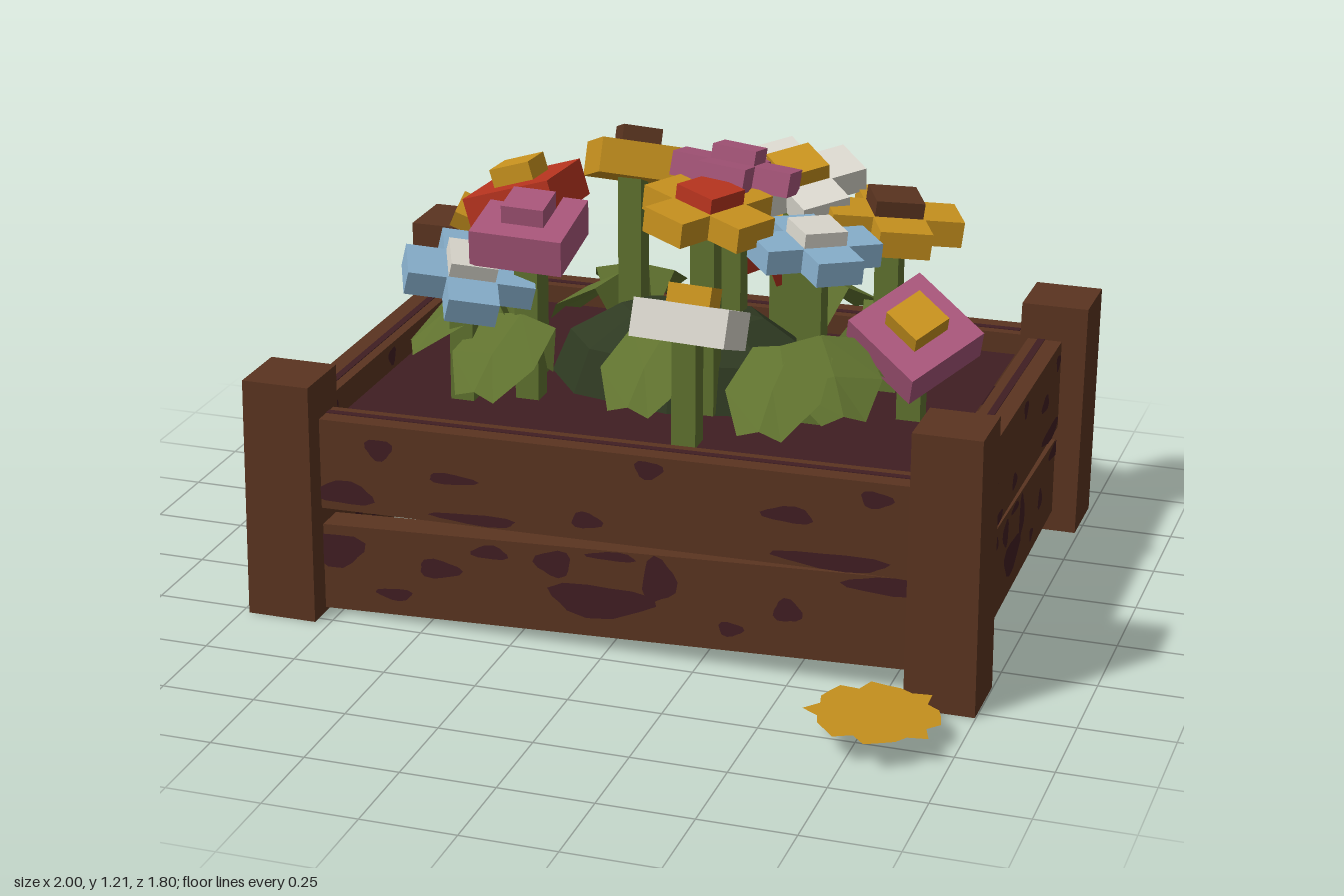
import * as THREE from 'three';

const mat = (name, color, side = THREE.FrontSide) => {
  const m = new THREE.MeshStandardMaterial({ color, side, flatShading: true });
  m.name = name;
  return m;
};
const M = {
  wood: mat('wood', 0x5a3420),
  soil: mat('soil', 0x401e22, THREE.DoubleSide),
  gold: mat('gold', 0xc8921e, THREE.DoubleSide),
  red: mat('red', 0xb8341f),
  pink: mat('pink', 0xa8567a),
  blue: mat('blue', 0x87afcc),
  white: mat('white', 0xdad7cd),
  green: mat('green', 0x60722f, THREE.DoubleSide),
  dark: mat('dark green', 0x2f3a22, THREE.DoubleSide),
};

function add(parent, name, geo, material, x = 0, y = 0, z = 0) {
  const m = new THREE.Mesh(geo, material);
  m.name = name;
  m.position.set(x, y, z);
  parent.add(m);
  return m;
}
const box = (w, h, d) => new THREE.BoxGeometry(w, h, d);

// Corner post whose top leans slightly sideways
function post(parent, x, z, h, w, leanX, leanZ) {
  const geo = box(w, h, w).translate(0, h / 2, 0);
  const p = geo.attributes.position;
  for (let i = 0; i < p.count; i++) {
    if (p.getY(i) > h / 2) p.setXYZ(i, p.getX(i) * 0.97 + leanX, h, p.getZ(i) * 0.97 + leanZ);
  }
  geo.computeVertexNormals();
  add(parent, 'cornerPost', geo, M.wood, x, 0, z);
}

// Stains: u, v centre and u, v radius, as fractions of the plank face
const STAINS = {
  upper: [[-0.74, 0.74, 0.045, 0.12], [-0.5, 0.5, 0.08, 0.06], [-0.86, 0.2, 0.1, 0.13],
    [-0.42, 0.08, 0.14, 0.06], [0.14, 0.86, 0.045, 0.1], [-0.06, 0.22, 0.05, 0.09], [0.58, 0.55, 0.08, 0.09],
    [0.72, 0.1, 0.18, 0.09], [0.85, 0.82, 0.05, 0.09]],
  lower: [[-0.9, 0.72, 0.1, 0.2], [-0.55, 0.6, 0.07, 0.11], [-0.38, 0.85, 0.06, 0.08], [-0.17, 0.8, 0.06, 0.15],
    [-0.02, 0.42, 0.17, 0.19], [0.17, 0.72, 0.055, 0.25], [0.02, 0.94, 0.08, 0.05], [-0.7, 0.25, 0.06, 0.07],
    [0.4, 0.25, 0.04, 0.08], [0.58, 0.52, 0.045, 0.13], [0.88, 0.9, 0.12, 0.1]],
};

// Plank with end heights [bottom, top] at left and right, stained on both faces
function plank(parent, name, half, left, right, depth, stains) {
  const at = (u, v) => {
    const k = (u + 1) / 2;
    const b = THREE.MathUtils.lerp(left[0], right[0], k);
    const t = THREE.MathUtils.lerp(left[1], right[1], k);
    return new THREE.Vector2(u * half, b + (t - b) * v);
  };
  const shape = new THREE.Shape([at(-1, 0), at(1, 0), at(1, 1), at(-1, 1)]);
  const geo = new THREE.ExtrudeGeometry(shape, { depth, bevelEnabled: false }).translate(0, 0, -depth / 2);
  add(parent, name, geo, M.wood);
  stains.forEach(([u, v, ru, rv], n) => {
    const pts = [];
    for (let i = 0; i < 14; i++) {
      const a = (i / 14) * Math.PI * 2, r = 1 + 0.16 * Math.sin(3 * a + n * 1.7);
      pts.push(at(THREE.MathUtils.clamp(u + ru * r * Math.cos(a), -1, 1),
        THREE.MathUtils.clamp(v + rv * r * Math.sin(a), 0, 1)));
    }
    const blot = new THREE.ShapeGeometry(new THREE.Shape(pts));
    for (const s of [-1, 1]) add(parent, 'stain', blot, M.soil, 0, 0, s * (depth / 2 + 0.003));
  });
}

// One wall: two crooked planks, outer face towards local +z
function wall(parent, name, x, z, turn, half, lowL, lowR, upL, upR) {
  const g = new THREE.Group();
  g.name = name;
  g.position.set(x, 0, z);
  g.rotation.y = turn;
  plank(g, 'lowerPlank', half, lowL, lowR, 0.085, STAINS.lower);
  plank(g, 'upperPlank', half, upL, upR, 0.095, STAINS.upper);
  add(g, 'topStain', box(half * 1.9, 0.004, 0.02), M.soil, 0, (upL[1] + upR[1]) / 2, -0.01)
    .rotation.z = Math.atan2(upR[1] - upL[1], half * 2);
  parent.add(g);
}

// Blocky bloom on a square stem; a slab or four petals round a centre block
function flower(parent, [x, y, z, nx, ny, nz, spin, petal, core, size, slab]) {
  const g = new THREE.Group();
  g.name = 'flower';
  add(g, 'stem', box(0.065, y - 0.54, 0.065), M.green, x - nx * 0.05, (y + 0.5) / 2, z - nz * 0.05);
  const head = new THREE.Group();
  head.name = 'bloom';
  head.position.set(x, y, z);
  head.scale.setScalar(size);
  head.quaternion.setFromUnitVectors(new THREE.Vector3(0, 1, 0), new THREE.Vector3(nx, ny, nz).normalize());
  head.rotateY(spin);
  if (slab) {
    add(head, 'petalSlab', box(0.25, 0.1, 0.25), M[petal]);
    add(head, 'flowerCentre', box(0.115, 0.07, 0.115), M[core], 0, 0.065, 0);
  } else {
    for (let i = 0; i < 4; i++) {
      const a = (i * Math.PI) / 2;
      add(head, 'petal', box(0.13, 0.068, 0.135), M[petal], 0.105 * Math.cos(a), 0, 0.105 * Math.sin(a)).rotation.y = -a;
    }
    add(head, 'flowerCentre', box(0.125, 0.09, 0.125), M[core], 0, 0.03, 0);
  }
  g.add(head);
  parent.add(g);
}

// Folded, drooping leaf: cross-sections of edge, ridge, edge
function leaf(parent, [x, z, tx, tz, top]) {
  const dx = tx - x, dz = tz - z, len = Math.hypot(dx, dz);
  const sections = [[0, 0.05, Math.min(0.6, top)], [0.25, 0.11, top + 0.02], [0.7, 0.13, top - 0.05], [1, 0.06, top - 0.13]];
  const pos = [], idx = [];
  sections.forEach(([s, w, h], i) => {
    for (const e of [-1, 0, 1]) {
      pos.push(x + dx * s - (dz / len) * w * e, h - Math.abs(e) * 0.02, z + dz * s + (dx / len) * w * e);
    }
    if (i) for (const j of [0, 1]) {
      const a = (i - 1) * 3 + j, b = a + 3;
      idx.push(a, a + 1, b, a + 1, b + 1, b);
    }
  });
  const geo = new THREE.BufferGeometry();
  geo.setAttribute('position', new THREE.Float32BufferAttribute(pos, 3));
  geo.setIndex(idx);
  geo.computeVertexNormals();
  add(parent, 'leaf', geo, M.green);
}

export function createModel() {
  const model = new THREE.Group();
  model.name = 'flowerPlanter';

  // Frame
  post(model, -0.885, 0.43, 0.66, 0.19, 0.005, 0);
  post(model, 0.905, 0.435, 0.74, 0.185, 0, 0);
  post(model, -0.895, -0.795, 0.7, 0.195, -0.01, -0.01);
  post(model, 0.895, -0.785, 0.66, 0.19, 0.01, -0.01);
  wall(model, 'frontWall', 0, 0.41, 0, 0.84, [0.01, 0.25], [0.07, 0.32], [0.3, 0.55], [0.32, 0.57]);
  wall(model, 'backWall', 0, -0.77, Math.PI, 0.84, [0.07, 0.31], [0.01, 0.25], [0.32, 0.56], [0.3, 0.55]);
  wall(model, 'rightWall', 0.88, -0.18, Math.PI / 2, 0.56, [0.02, 0.3], [0.06, 0.27], [0.31, 0.56], [0.31, 0.56]);
  wall(model, 'leftWall', -0.865, -0.18, -Math.PI / 2, 0.56, [0.02, 0.29], [0.06, 0.28], [0.31, 0.56], [0.31, 0.56]);

  // Soil and the dark clump of foliage
  add(model, 'soil', new THREE.PlaneGeometry(1.59, 1.03).rotateX(-Math.PI / 2), M.soil, 0.005, 0.51, -0.18);
  const dome = new THREE.SphereGeometry(1, 8, 3, 0, Math.PI * 2, 0, Math.PI / 2);
  add(model, 'foliageClump', dome, M.dark, 0.03, 0.515, -0.17).scale.set(0.4, 0.25, 0.22);

  // Leaves: base x, z, tip x, z, ridge height; the last hangs under the soil's edge
  [[-0.22, -0.4, -0.28, -0.7, 0.72], [-0.14, -0.25, -0.4, -0.36, 0.76], [-0.53, -0.2, -0.63, -0.46, 0.7],
    [-0.4, -0.05, -0.68, 0.08, 0.78], [-0.35, 0, -0.42, 0.29, 0.74],
    [0.03, -0.08, -0.02, 0.22, 0.72], [0.38, -0.03, 0.36, 0.3, 0.73], [0.4, -0.05, 0.55, 0.18, 0.75],
    [0.5, -0.25, 0.67, -0.53, 0.74], [0.27, -0.38, 0.4, -0.64, 0.76], [0.42, -0.15, 0.68, -0.12, 0.75],
    [-0.7, -0.05, -0.84, -0.05, 0.49]].forEach((l) => leaf(model, l));

  // Flowers: position, facing, spin, petal and centre colours, size, slab or not
  [[-0.42, 1.02, -0.12, -0.3, 0.95, -0.05, 0, 'red', 'gold', 1, true],
    [-0.16, 1.1, -0.26, 0, 0.9, -0.38, 0.5, 'gold', 'wood', 0.93, true],
    [-0.35, 0.98, 0.05, 0.05, 0.95, 0.15, 0.05, 'pink', 'pink', 1, true],
    [-0.5, 0.86, 0.11, 0.28, 0.94, 0.15, 0.45, 'blue', 'white', 1],
    [-0.56, 0.87, -0.28, 0.42, 0.86, 0.22, 0.15, 'gold', 'red', 0.75],
    [-0.01, 0.93, -0.46, -0.1, 0.94, -0.05, 0.2, 'pink', 'gold', 0.84],
    [0.15, 0.81, -0.59, -0.1, 0.82, 0.45, 0.5, 'red', 'gold', 0.84],
    [0.27, 1.06, -0.34, 0.05, 0.92, 0.25, 0.75, 'white', 'gold', 1],
    [0.54, 0.99, -0.31, 0.12, 0.98, 0, 0.45, 'gold', 'wood', 1.04],
    [0.66, 0.75, -0.1, 0.2, 0.8, 0.5, -0.55, 'pink', 'gold', 1, true],
    [0.41, 0.99, -0.02, 0.1, 0.98, 0.03, 0.7, 'blue', 'white', 0.95],
    [0.13, 1.07, 0.01, 0.12, 0.98, 0.05, -0.45, 'gold', 'red', 1],
    [0.14, 1.12, -0.2, 0.1, 0.95, -0.2, 0.02, 'pink', 'pink', 0.95],
    [0.15, 0.84, 0.22, 0.03, 0.92, -0.35, 0.05, 'white', 'gold', 1, true]].forEach((f) => flower(model, f));

  // Fallen leaf with a jagged rim
  const rim = [];
  for (let i = 0; i < 26; i++) {
    const a = (i / 26) * Math.PI * 2, r = (i % 2 ? 0.16 : 0.18) + 0.014 * Math.sin(i * 1.9);
    rim.push(new THREE.Vector2(r * 0.92 * Math.cos(a), r * 1.06 * Math.sin(a)));
  }
  const fallen = add(model, 'fallenLeaf', new THREE.ShapeGeometry(new THREE.Shape(rim)).rotateX(-Math.PI / 2),
    M.gold, 0.79, 0.068, 0.71);
  fallen.rotation.set(-0.06, 0, -0.04);
  return model;
}
